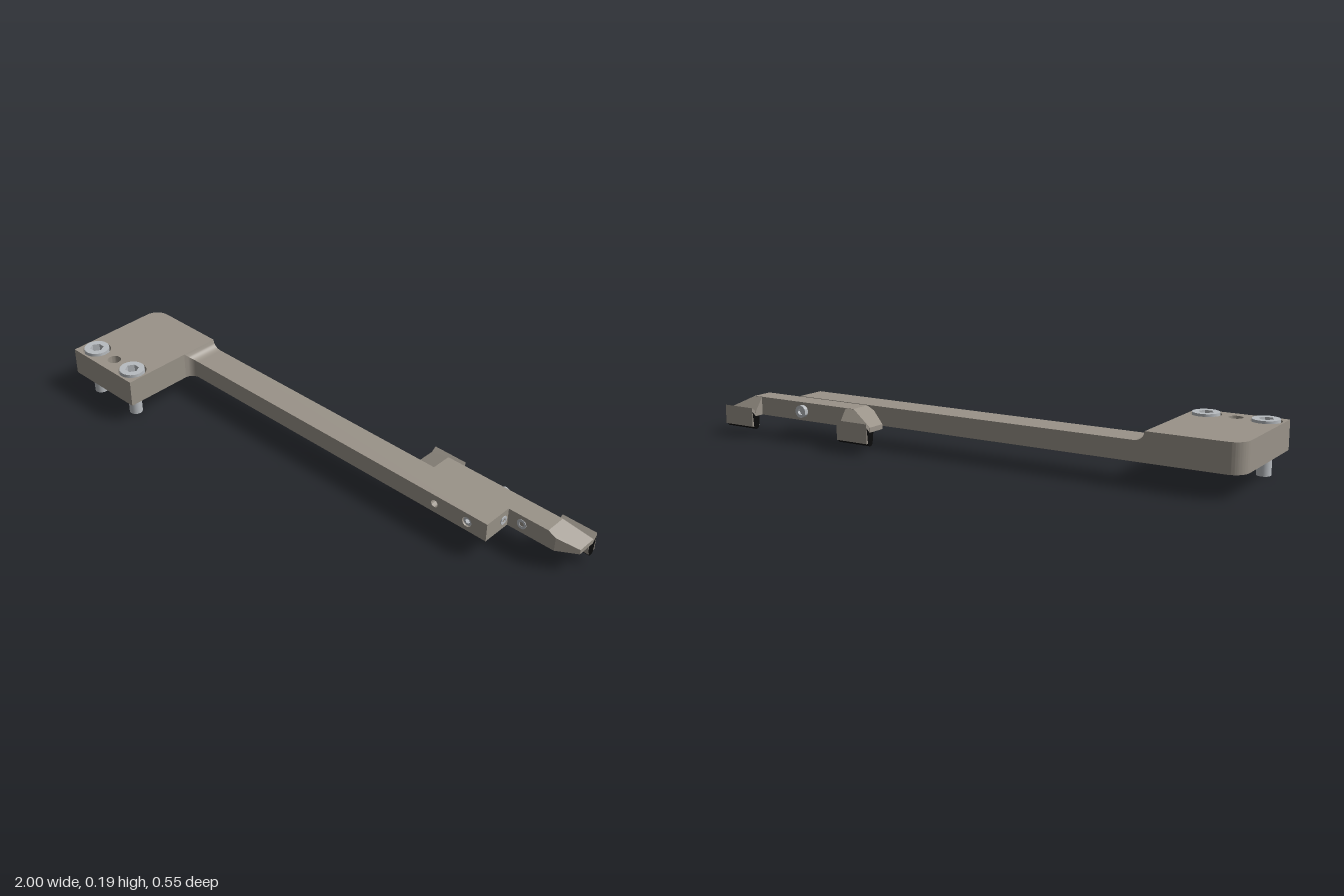
import * as THREE from 'three';
import { toCreasedNormals } from 'three/addons/utils/BufferGeometryUtils.js';
import { ConvexGeometry } from 'three/addons/geometries/ConvexGeometry.js';

const body = new THREE.MeshStandardMaterial({ color: 0x9a9389 });
const steel = new THREE.MeshStandardMaterial({ color: 0xb8bcc0 });
const black = new THREE.MeshStandardMaterial({ color: 0x0a0a0a });

const polygon = (pts) => new THREE.Shape(pts.map(([x, y]) => new THREE.Vector2(x, y)));
const circle = (x, y, r) => new THREE.Path().absarc(x, y, r, 0, Math.PI * 2, true);
const hexagon = (r) => new THREE.Path(Array.from({ length: 6 }, (_, i) =>
  new THREE.Vector2(r * Math.cos(-i * Math.PI / 3), r * Math.sin(-i * Math.PI / 3))));

function extrude(shape, depth) {
  const g = new THREE.ExtrudeGeometry(shape, { depth, bevelEnabled: false, curveSegments: 16 });
  return toCreasedNormals(g, 0.6);
}

export function createModel() {
  const model = new THREE.Group();
  const add = (name, geometry, material = body, parent = model) => {
    const mesh = new THREE.Mesh(geometry, material);
    mesh.name = name;
    parent.add(mesh);
    return mesh;
  };

  // Screw along +y with its head top at the origin, hex socket in the head
  function screw(name, headR, headH, shaftR, length) {
    const group = new THREE.Group();
    group.name = name;
    const ring = new THREE.Shape().absarc(0, 0, headR, 0, Math.PI * 2);
    ring.holes.push(hexagon(headR * 0.55));
    add('screwHead', extrude(ring, headH).rotateX(-Math.PI / 2).translate(0, -headH, 0), steel, group);
    add('screwShaft', new THREE.CylinderGeometry(shaftR, shaftR, length - headH * 0.7, 24)
      .translate(0, -(length + headH * 0.7) / 2, 0), steel, group);
    model.add(group);
    return group;
  }

  // Mounting block: two layers, the upper one with counterbores for the bolts
  const boltX = [-0.94, -0.73], boltZ = 0.215;
  const block = (boreR) => {
    const s = new THREE.Shape();
    s.moveTo(-1, -0.275);
    s.lineTo(-0.67, -0.275);
    s.lineTo(-0.67, 0.14);
    s.lineTo(-0.945, 0.14);
    s.absarc(-0.945, 0.085, 0.055, Math.PI / 2, Math.PI, false);
    s.lineTo(-1, -0.275);
    s.holes.push(circle(-0.835, -boltZ, 0.025));
    for (const x of boltX) s.holes.push(circle(x, -boltZ, boreR));
    return s;
  };
  add('blockLower', extrude(block(0.026), 0.055).rotateX(-Math.PI / 2).translate(0, 0.08, 0));
  add('blockUpper', extrude(block(0.053), 0.048).rotateX(-Math.PI / 2).translate(0, 0.135, 0));
  for (const x of boltX) screw('mountingBolt', 0.047, 0.05, 0.025, 0.191).position.set(x, 0.191, boltZ);

  // Neck: concave fillets blend the block into the arm, above and in front
  const neck = new THREE.BoxGeometry(1, 1, 1, 10, 1, 1);
  const p = neck.attributes.position;
  for (let i = 0; i < p.count; i++) {
    const d = p.getX(i) + 0.5;
    const flare = 1 - Math.sqrt(Math.max(0, 1 - (1 - d) ** 2));
    p.setXYZ(i, -0.67 + 0.038 * d,
      p.getY(i) > 0 ? 0.15 + 0.033 * flare : 0.08,
      p.getZ(i) > 0 ? -0.025 + 0.035 * flare : -0.14);
  }
  neck.computeVertexNormals();
  add('neck', neck);

  // Arm with cross holes
  const armShape = polygon([[-0.632, 0.08], [0.745, 0.08], [0.745, 0.15], [-0.632, 0.15]]);
  armShape.holes.push(circle(0.53, 0.115, 0.014), circle(0.665, 0.115, 0.019));
  add('arm', extrude(armShape, 0.115).translate(0, 0, -0.14));
  const clampScrew = screw('clampScrew', 0.017, 0.02, 0.014, 0.1);
  clampScrew.rotation.x = Math.PI / 2;
  clampScrew.position.set(0.665, 0.115, -0.03);
  const endScrew = screw('endScrew', 0.016, 0.012, 0.012, 0.04);
  endScrew.rotation.z = -Math.PI / 2;
  endScrew.position.set(0.748, 0.115, -0.115);

  // Jaw bar with sloped ends and cut front corners, symmetric about x = mid
  const mid = 0.665;
  const mirrored = (pts) => pts.flatMap(([x, y, z]) =>
    [1, -1].map((s) => new THREE.Vector3(mid + s * x, y, z)));
  add('jawBar', new ConvexGeometry(mirrored([
    [0.265, 0.08, -0.14], [0.265, 0.133, -0.14], [0.235, 0.148, -0.14],
    [0.335, 0.08, -0.183], [0.335, 0.098, -0.183],
    [0.335, 0.08, -0.22], [0.335, 0.098, -0.22], [0.235, 0.148, -0.22],
  ])));
  const jawScrew = screw('jawScrew', 0.018, 0.01, 0.014, 0.05);
  jawScrew.rotation.x = Math.PI / 2;
  jawScrew.position.set(0.8, 0.115, -0.138);
  const backScrew = screw('backScrew', 0.023, 0.016, 0.014, 0.05);
  backScrew.rotation.x = -Math.PI / 2;
  backScrew.position.set(mid, 0.115, -0.236);

  // Claw at each end of the jaw: sloped shoulder, hooked lip and dark gripping pad
  const lip = polygon([[0.235, 0.08], [0.24, 0.042], [0.275, 0.042], [0.275, 0.113],
    [0.256, 0.098], [0.235, 0.098]]);
  const pad = new THREE.Shape();
  pad.moveTo(0.236, 0.08);
  pad.lineTo(0.241, 0.045);
  pad.quadraticCurveTo(0.244, 0.031, 0.254, 0.031);
  pad.quadraticCurveTo(0.265, 0.031, 0.267, 0.045);
  pad.lineTo(0.273, 0.098);
  pad.lineTo(0.258, 0.08);
  for (const s of [1, -1]) {
    const X = (x) => mid + s * x;
    add('clawShoulder', new ConvexGeometry([
      [0.2, 0.08, -0.219], [0.2, 0.148, -0.219], [0.235, 0.148, -0.219],
      [0.335, 0.08, -0.219], [0.335, 0.098, -0.219],
      [0.2, 0.08, -0.256], [0.2, 0.098, -0.256],
      [0.335, 0.08, -0.256], [0.335, 0.098, -0.256],
    ].map(([x, y, z]) => new THREE.Vector3(X(x), y, z))));
    const start = Math.min(X(0.2), X(0.335));
    add('clawLip', extrude(lip, 0.133).rotateY(Math.PI / 2).translate(start + 0.001, 0, 0));
    add('clawPad', extrude(pad, 0.135).rotateY(Math.PI / 2).translate(start, 0, 0), black);
  }
  return model;
}
